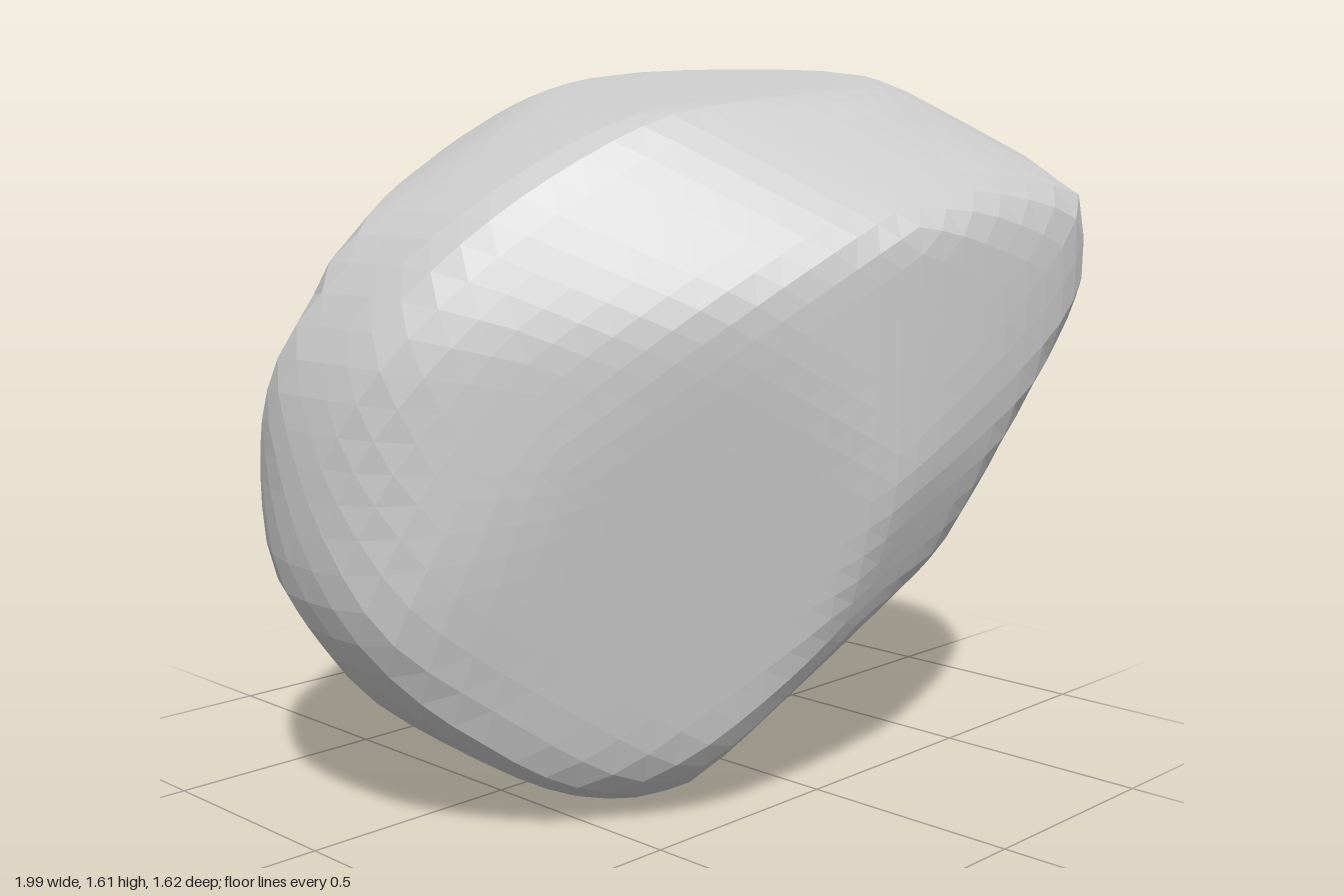
import * as THREE from 'three';

const V = (x, y, z) => new THREE.Vector3(x, y, z);

// Closed outlines [across, up] around the centre, each cutting the stone along one direction.
const front = [[-1, -0.1], [-0.95, 0.2], [-0.8, 0.45], [-0.6, 0.59], [-0.35, 0.7], [0, 0.77], [0.38, 0.81],
  [0.55, 0.805], [0.63, 0.76], [0.8, 0.5], [0.91, 0.27], [1, 0], [0.99, -0.17], [0.9, -0.32], [0.7, -0.48],
  [0.4, -0.65], [0, -0.77], [-0.25, -0.8], [-0.42, -0.78], [-0.62, -0.69], [-0.82, -0.53], [-0.95, -0.33]];
const side = [[-0.82, 0.25], [-0.8, 0.48], [-0.73, 0.6], [-0.56, 0.71], [-0.35, 0.77], [0.1, 0.81], [0.3, 0.8],
  [0.46, 0.74], [0.61, 0.6], [0.75, 0.35], [0.81, 0.05], [0.77, -0.2], [0.65, -0.37], [0.25, -0.68], [0, -0.77],
  [-0.17, -0.8], [-0.38, -0.75], [-0.5, -0.63], [-0.66, -0.33], [-0.77, 0]];
const plan = [[-1, 0], [-0.95, 0.2], [-0.85, 0.38], [-0.6, 0.56], [-0.3, 0.74], [0, 0.82], [0.22, 0.8], [0.6, 0.69],
  [0.8, 0.5], [0.95, 0.24], [1, -0.05], [0.97, -0.3], [0.87, -0.54], [0.7, -0.71], [0.5, -0.8], [0.28, -0.81],
  [0, -0.76], [-0.3, -0.66], [-0.55, -0.5], [-0.93, -0.18]];
const slantA = [[-0.865, 0.12], [-0.83, 0.4], [-0.72, 0.59], [-0.44, 0.71], [-0.1, 0.77], [0.29, 0.79], [0.57, 0.735],
  [0.81, 0.545], [0.91, 0.29], [0.95, 0.01], [0.93, -0.21], [0.8, -0.47], [0.57, -0.635], [0.21, -0.735],
  [-0.2, -0.785], [-0.49, -0.7], [-0.61, -0.595], [-0.73, -0.325]];
const slantB = [[-0.95, 0.08], [-0.92, 0.26], [-0.83, 0.48], [-0.68, 0.685], [-0.48, 0.835], [-0.29, 0.92],
  [-0.09, 0.93], [0.12, 0.885], [0.36, 0.78], [0.56, 0.61], [0.7, 0.37], [0.81, 0.07], [0.865, -0.21],
  [0.82, -0.52], [0.725, -0.68], [0.555, -0.75], [0.275, -0.775], [0.08, -0.73], [-0.595, -0.41], [-0.82, -0.185]];
const slantC = [[-0.99, 0.235], [-0.92, 0.46], [-0.75, 0.655], [-0.48, 0.875], [-0.3, 0.94], [-0.12, 0.945],
  [0.09, 0.905], [0.26, 0.8], [0.7, 0.28], [0.83, 0.01], [0.895, -0.225], [0.85, -0.44], [0.71, -0.65],
  [0.48, -0.815], [0.26, -0.89], [0.06, -0.9], [-0.11, -0.86], [-0.3, -0.73], [-0.585, -0.44], [-0.84, -0.13]];

// Broad flat faces: normal and distance from the centre.
const broadFaces = [
  [V(0.48, -0.47, 0.74), 0.71],   // lower front, upper facet
  [V(0.33, -0.7, 0.63), 0.665],   // lower front, lower facet
  [V(-0.5, -0.15, 0.85), 0.675],  // front left
  [V(-0.52, 0.44, -0.74), 0.69],  // upper back
  [V(0.3, -0.8, -0.52), 0.65],    // underside
  [V(-0.35, -0.6, -0.72), 0.64],  // lower back
  [V(-0.1, 0.99, 0.09), 0.76],    // top
];

// Across and up axes for a slanted cut, seen along the given direction.
function slantAxes(sx, sy, sz) {
  const az = THREE.MathUtils.degToRad(40), el = THREE.MathUtils.degToRad(28);
  const toward = V(sx * Math.sin(az) * Math.cos(el), sy * Math.sin(el), sz * Math.cos(az) * Math.cos(el));
  const across = V(0, 1, 0).cross(toward).normalize();
  return [across, toward.clone().cross(across)];
}

// Planes touching an outline all the way round.
function tangentPlanes(outline, [across, up], count = 36) {
  const planes = [];
  for (let i = 0; i < count; i++) {
    const t = (i / count) * Math.PI * 2, c = Math.cos(t), s = Math.sin(t);
    const reach = Math.max(...outline.map(([a, b]) => a * c + b * s));
    planes.push([across.clone().multiplyScalar(c).addScaledVector(up, s), reach]);
  }
  return planes;
}

export function createModel() {
  const planes = [
    ...tangentPlanes(front, [V(1, 0, 0), V(0, 1, 0)]),
    ...tangentPlanes(side, [V(0, 0, -1), V(0, 1, 0)]),
    ...tangentPlanes(plan, [V(1, 0, 0), V(0, 0, -1)]),
    ...tangentPlanes(slantA, slantAxes(1, 1, 1)),
    ...tangentPlanes(slantB, slantAxes(-1, 1, -1)),
    ...tangentPlanes(slantC, slantAxes(1, -1, -1)),
    ...broadFaces.map(([n, d]) => [n.clone().normalize(), d]),
  ];

  // Carve a faceted ball by all planes, with slightly softened edges.
  const geometry = new THREE.IcosahedronGeometry(1, 14);
  const pos = geometry.attributes.position;
  const dir = V(0, 0, 0);
  const softness = 85, overlap = 3.2;
  for (let i = 0; i < pos.count; i++) {
    dir.fromBufferAttribute(pos, i).normalize();
    let sum = 0;
    for (const [n, d] of planes) sum += Math.max(0, n.dot(dir) / d) ** softness;
    dir.multiplyScalar((sum / overlap) ** (-1 / softness));
    pos.setXYZ(i, dir.x, dir.y, dir.z);
  }

  // Centre the stone and set it on the ground.
  geometry.center();
  geometry.computeBoundingBox();
  geometry.translate(0, -geometry.boundingBox.min.y, 0);
  geometry.computeVertexNormals();

  const rock = new THREE.Mesh(geometry, new THREE.MeshStandardMaterial({ color: 0xcccccc, flatShading: true }));
  rock.name = 'rock';
  const group = new THREE.Group();
  group.name = 'boulder';
  group.add(rock);
  return group;
}
